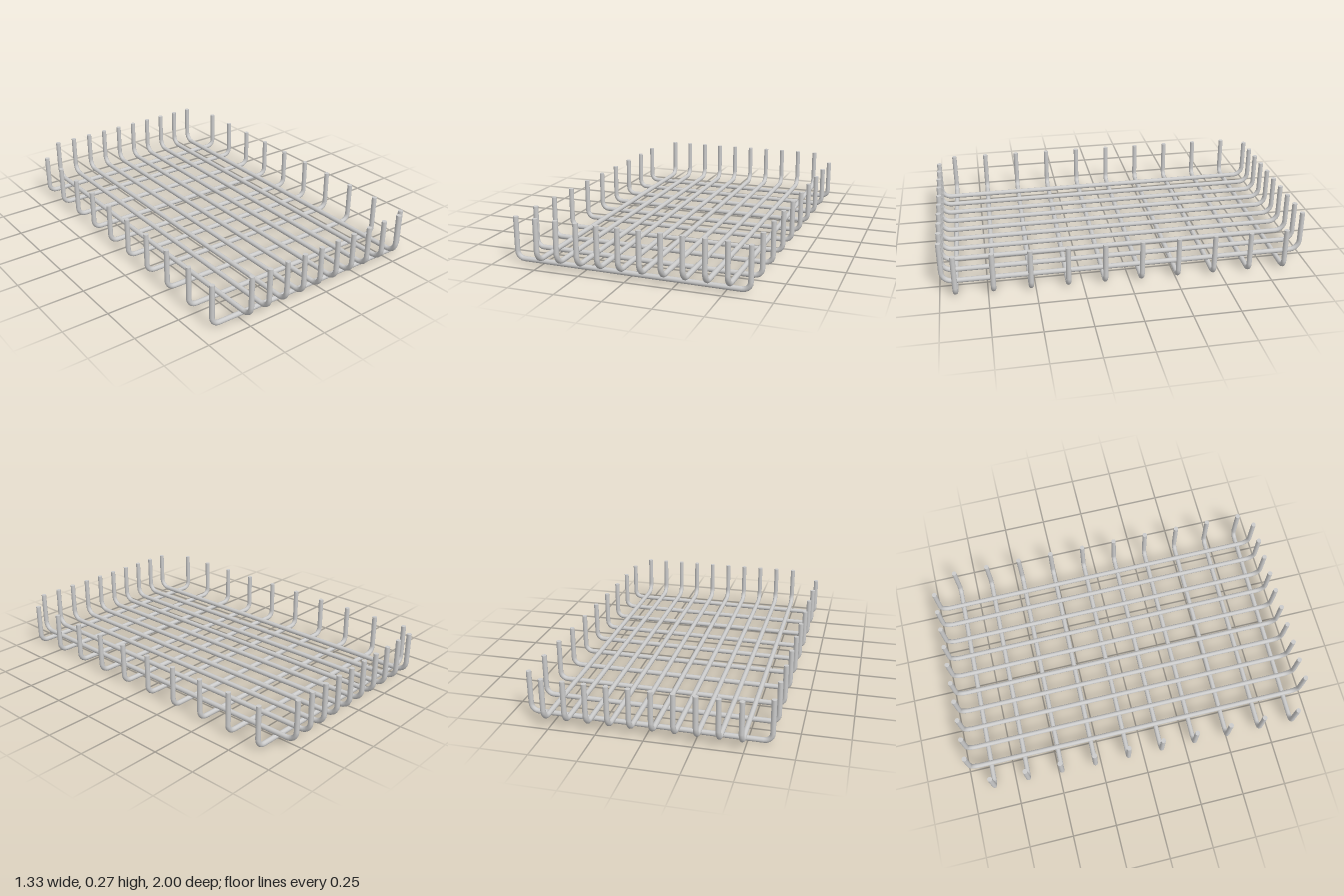
import * as THREE from 'three';
import { mergeGeometries } from 'three/addons/utils/BufferGeometryUtils.js';

const R = 0.0138; // bar radius
const SIDES = 12;

// A U-shaped bar in the XY plane: floor run on y = 0, two bends, two uprights.
function uBar(half, top, bend) {
  const parts = [
    new THREE.CylinderGeometry(R, R, 2 * (half - bend), SIDES, 1, true).rotateZ(Math.PI / 2),
  ];
  for (const s of [-1, 1]) {
    const height = top - bend;
    parts.push(
      new THREE.CylinderGeometry(R, R, height, SIDES).translate(s * half, bend + height / 2, 0),
      new THREE.TorusGeometry(bend, R, SIDES, 5, Math.PI / 2)
        .rotateZ(s > 0 ? -Math.PI / 2 : Math.PI)
        .translate(s * (half - bend), bend, 0),
    );
  }
  return mergeGeometries(parts);
}

export function createModel() {
  const model = new THREE.Group();
  model.name = 'rebarGrid';
  const steel = new THREE.MeshStandardMaterial({ color: 0xcccccc });

  // Lower layer: bars across the width, the whole layer slightly skewed
  const crossBars = new THREE.Group();
  crossBars.name = 'crossBars';
  const crossGeometry = uBar(0.637, 0.228, 0.042);
  for (let i = 0; i < 10; i++) {
    const bar = new THREE.Mesh(crossGeometry, steel);
    bar.name = `crossBar${i + 1}`;
    bar.position.z = (i - 4.5) * 0.1966;
    crossBars.add(bar);
  }
  crossBars.position.set(-0.002, R, 0.022);
  crossBars.rotation.y = -0.0178;

  // Upper layer: bars along the length, resting on the cross bars
  const longBars = new THREE.Group();
  longBars.name = 'longBars';
  const longGeometry = uBar(1 - R, 0.228, 0.055).rotateY(Math.PI / 2);
  for (let i = 0; i < 10; i++) {
    const bar = new THREE.Mesh(longGeometry, steel);
    bar.name = `longBar${i + 1}`;
    bar.position.x = (i - 4.5) * 0.1124;
    longBars.add(bar);
  }
  longBars.position.set(0.019, 0.0445, 0);

  model.add(crossBars, longBars);
  return model;
}
